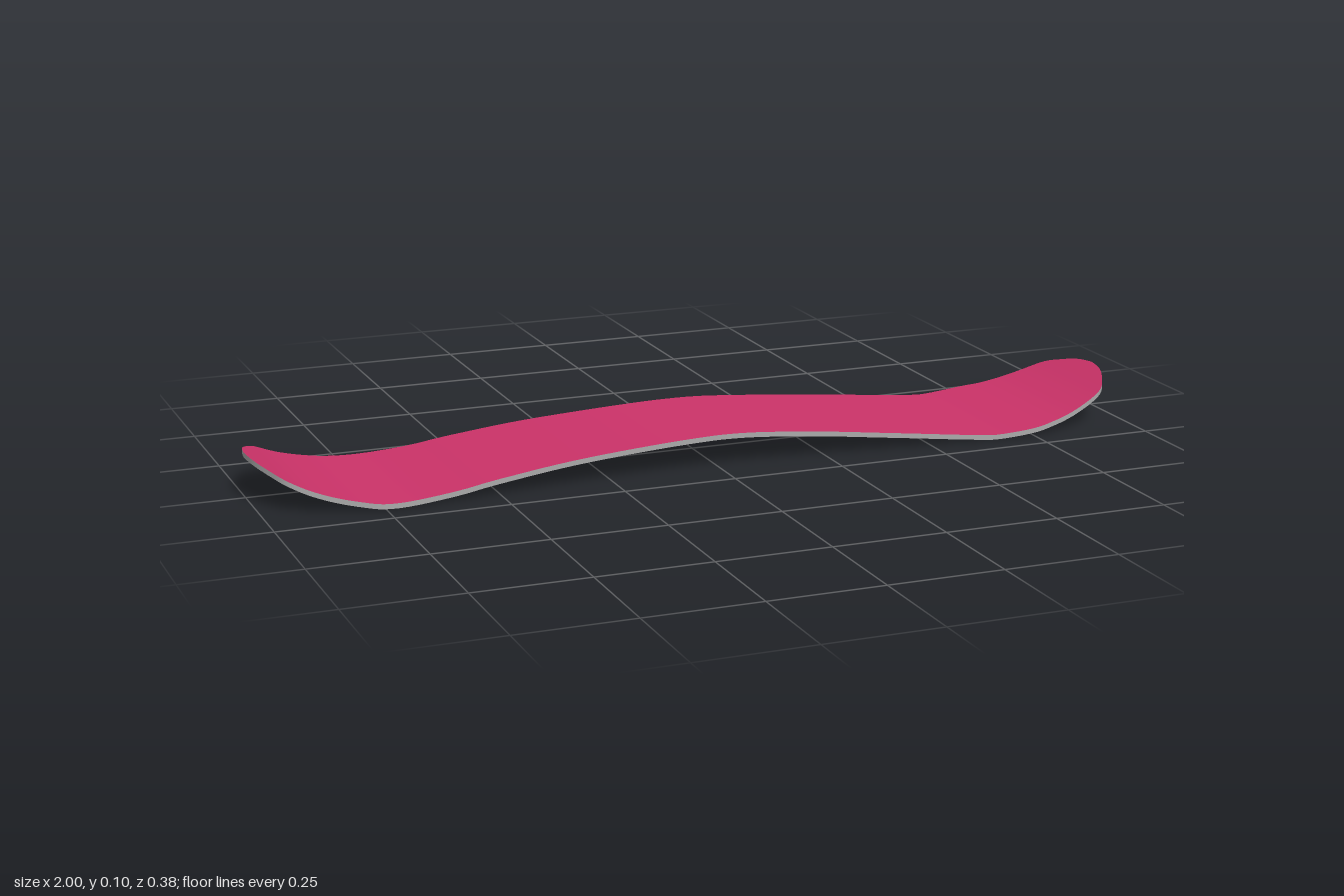
import * as THREE from 'three';

const THICK = 0.011;

// Spline through [x, value] pairs, sampled as a function of x
function splineFn(pairs) {
  const pts = new THREE.SplineCurve(pairs.map(([x, v]) => new THREE.Vector2(x, v))).getPoints(240);
  return (x) => {
    let i = 1;
    while (i < pts.length - 1 && pts[i].x < x) i++;
    const a = pts[i - 1], b = pts[i];
    return THREE.MathUtils.lerp(a.y, b.y, THREE.MathUtils.clamp((x - a.x) / (b.x - a.x), 0, 1));
  };
}

// Camber line: raised middle, two contact points, upturned nose and tail
const camber = splineFn([
  [-1, 0.092], [-0.9, 0.042], [-0.8, 0.014], [-0.72, 0.0062], [-0.6, 0.015], [-0.5, 0.03],
  [-0.3, 0.052], [0, 0.067], [0.2, 0.055], [0.4, 0.033], [0.6, 0.01], [0.67, 0.006],
  [0.8, 0.02], [0.9, 0.049], [1, 0.0955],
]);

// Half outline from the middle to the tip: sidecut, then rounded end
const quarter = new THREE.SplineCurve([
  [0, 0.16], [0.2, 0.165], [0.4, 0.174], [0.6, 0.184], [0.74, 0.192], [0.8, 0.182], [0.87, 0.166],
  [0.94, 0.14], [0.97, 0.1], [0.992, 0.05], [1, 0],
].map(([x, w]) => new THREE.Vector2(x, w))).getPoints(60);
const outline = [
  ...quarter.slice(1).reverse().map((p) => new THREE.Vector2(-p.x, p.y)),
  ...quarter,
];

// Grid surface from rows of points; all rows have the same length
function gridGeometry(rows) {
  const n = rows[0].length, index = [];
  for (let i = 0; i < rows.length - 1; i++) {
    for (let j = 0; j < n - 1; j++) {
      const a = i * n + j, b = a + 1, c = a + n, d = c + 1;
      index.push(a, b, d, a, d, c);
    }
  }
  const geo = new THREE.BufferGeometry();
  geo.setAttribute('position', new THREE.Float32BufferAttribute(rows.flat(2), 3));
  geo.setIndex(index);
  geo.computeVertexNormals();
  return geo;
}

// Top or bottom face: one strip across the board per outline station
function faceGeometry(offset, up) {
  const across = 4;
  return gridGeometry(outline.map((p) => {
    const row = [];
    for (let j = 0; j <= across; j++) {
      const s = (j / across) * 2 - 1;
      row.push([p.x, camber(p.x) + offset, p.y * (up ? -s : s)]);
    }
    return up ? row.reverse() : row.reverse();
  }));
}

// Side wall running all the way round the outline
function edgeGeometry() {
  const loop = [
    ...outline.map((p) => [p.x, p.y]),
    ...outline.slice(0, -1).reverse().map((p) => [p.x, -p.y]),
  ];
  return gridGeometry([-THICK / 2, THICK / 2].map((o) =>
    loop.map(([x, z]) => [x, camber(x) + o, z])));
}

export function createModel() {
  const board = new THREE.Group();
  board.name = 'snowboard';
  const add = (name, geo, color) => {
    const mat = new THREE.MeshStandardMaterial({ color, side: THREE.DoubleSide });
    const mesh = new THREE.Mesh(geo, mat);
    mesh.name = name;
    board.add(mesh);
  };
  add('topSheet', faceGeometry(THICK / 2, true), 0xcc3369);
  add('base', faceGeometry(-THICK / 2, false), 0x1c1c1c);
  add('edge', edgeGeometry(), 0xaaaaaa);
  return board;
}
